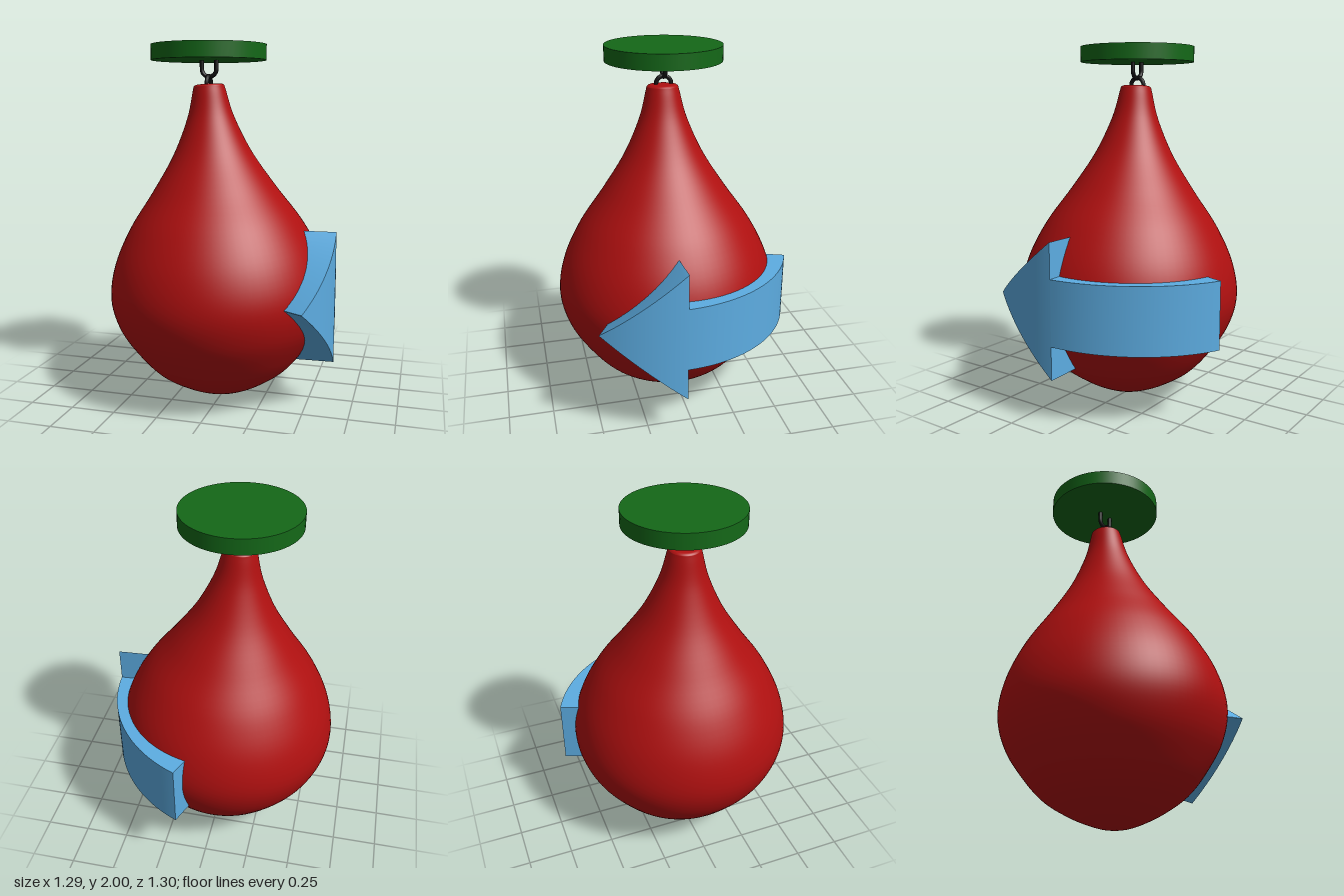
import * as THREE from 'three';
import { toCreasedNormals } from 'three/addons/utils/BufferGeometryUtils.js';

const paint = (color) => new THREE.MeshStandardMaterial({ color });

function add(parent, name, geometry, material) {
  const mesh = new THREE.Mesh(geometry, material);
  mesh.name = name;
  parent.add(mesh);
  return mesh;
}

// Curved slab between two radii; range(t) gives its [bottom, top] heights along the arc
function curvedSlab(a0, a1, inner, outer, steps, range) {
  const pos = [], index = [];
  for (let i = 0; i <= steps; i++) {
    const t = i / steps, a = a0 + (a1 - a0) * t, [lo, hi] = range(t);
    for (const [r, y] of [[inner, lo], [outer, lo], [outer, hi], [inner, hi]]) {
      pos.push(r * Math.cos(a), y, r * Math.sin(a));
    }
  }
  for (let i = 0; i < steps; i++) {
    for (let k = 0; k < 4; k++) {
      const a = i * 4 + k, b = i * 4 + (k + 1) % 4;
      index.push(a, b, a + 4, b, b + 4, a + 4);
    }
  }
  const e = steps * 4;
  index.push(0, 2, 1, 0, 3, 2, e, e + 1, e + 2, e, e + 2, e + 3);
  const g = new THREE.BufferGeometry();
  g.setAttribute('position', new THREE.Float32BufferAttribute(pos, 3));
  g.setIndex(index);
  return toCreasedNormals(g, 0.5);
}

// U-shaped wire: half circle with two straight legs going up
function hookGeometry(radius, leg, wire) {
  const path = new THREE.CurvePath();
  const pts = [];
  for (let i = 0; i <= 16; i++) {
    const a = Math.PI + Math.PI * i / 16;
    pts.push(new THREE.Vector3(radius * Math.cos(a), radius * Math.sin(a), 0));
  }
  path.add(new THREE.LineCurve3(new THREE.Vector3(-radius, leg, 0), pts[0]));
  path.add(new THREE.CatmullRomCurve3(pts));
  path.add(new THREE.LineCurve3(pts[16], new THREE.Vector3(radius, leg, 0)));
  return new THREE.TubeGeometry(path, 48, wire, 10);
}

export function createModel() {
  const group = new THREE.Group();
  const red = paint(0xb01010), green = paint(0x146818);
  const blue = paint(0x5dade2), black = paint(0x111111);

  // Pear-shaped bag, leaning slightly
  const profile = new THREE.SplineCurve([
    [0, 0.002], [0.08, 0.01], [0.18, 0.045], [0.28, 0.095], [0.39, 0.17], [0.49, 0.285],
    [0.585, 0.44], [0.624, 0.61], [0.588, 0.8], [0.49, 1.0], [0.35, 1.2],
    [0.222, 1.4], [0.132, 1.6], [0.092, 1.75], [0.083, 1.777], [0.06, 1.785], [0, 1.786],
  ].map(([r, y]) => new THREE.Vector2(r, y))).getPoints(96);
  profile.forEach((p) => { p.x = Math.max(0, p.x); });
  const bag = add(group, 'bag', new THREE.LatheGeometry(profile, 80), red);
  bag.position.set(0.005, 0.003, 0.025);
  bag.rotation.z = 0.053;

  // Ceiling mount
  const mount = add(group, 'ceilingMount', new THREE.CylinderGeometry(0.32, 0.32, 0.085, 64), green);
  mount.position.set(-0.092, 1.9575, 0.018);

  // Interlocked wire links
  const upper = add(group, 'upperLink', hookGeometry(0.042, 0.06, 0.012), black);
  upper.position.set(-0.09, 1.868, 0.018);
  const lower = add(group, 'lowerLink', hookGeometry(0.042, 0.06, 0.012), black);
  lower.position.set(-0.092, 1.787, 0.018);
  lower.rotation.set(Math.PI, Math.PI / 2, 0);

  // Arrow wrapped around the bag's left side, pointing to the front
  const arrow = new THREE.Group();
  arrow.name = 'arrow';
  arrow.position.set(-0.163, 0, 0.096);
  group.add(arrow);
  const tail = -1.202, neck = -0.05, tip = 0.532, inner = 0.55, outer = 0.806;
  add(arrow, 'arrowShaft', curvedSlab(tail, neck, inner, outer, 32,
    (t) => [0.413 + 0.022 * t, 0.786 + 0.01 * t]), blue);
  add(arrow, 'arrowHead', curvedSlab(neck, tip, inner, outer, 20, (t) => {
    // straight edges when seen from the side
    const s = (Math.sin(neck + (tip - neck) * t) - Math.sin(neck)) / (Math.sin(tip) - Math.sin(neck));
    return [0.25 + 0.389 * s, 0.99 - 0.349 * s];
  }), blue);

  return group;
}
